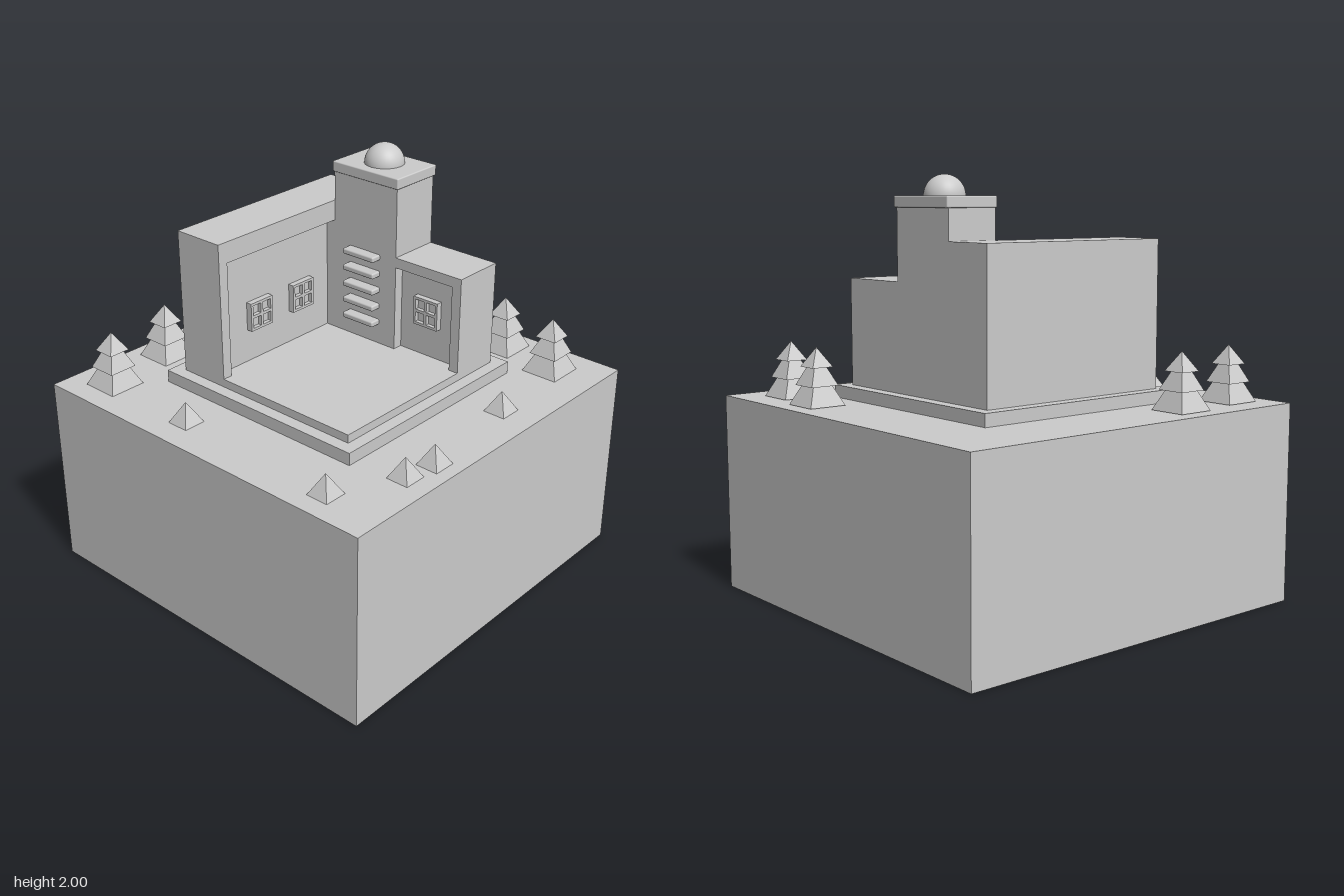
import * as THREE from 'three';
import { RoundedBoxGeometry } from 'three/addons/geometries/RoundedBoxGeometry.js';

const grey = new THREE.MeshStandardMaterial({ color: 0xcccccc });
const faceted = new THREE.MeshStandardMaterial({ color: 0xcccccc, flatShading: true });

function add(parent, name, geometry, material = grey) {
  const mesh = new THREE.Mesh(geometry, material);
  mesh.name = name;
  parent.add(mesh);
  return mesh;
}

// Box given by its lower and upper bounds on each axis; an optional radius rounds the edges
function box(parent, name, [x0, x1], [y0, y1], [z0, z1], radius = 0) {
  const size = [x1 - x0, y1 - y0, z1 - z0];
  const geometry = radius ? new RoundedBoxGeometry(...size, 2, radius) : new THREE.BoxGeometry(...size);
  const mesh = add(parent, name, geometry);
  mesh.position.set((x0 + x1) / 2, (y0 + y1) / 2, (z0 + z1) / 2);
  return mesh;
}

function rectPath(path, x0, x1, y0, y1) {
  path.moveTo(x0, y0);
  path.lineTo(x1, y0);
  path.lineTo(x1, y1);
  path.lineTo(x0, y1);
  path.closePath();
  return path;
}

function panel(x0, x1, y0, y1, holes, depth) {
  const shape = rectPath(new THREE.Shape(), x0, x1, y0, y1);
  for (const hole of holes) shape.holes.push(rectPath(new THREE.Path(), ...hole));
  return new THREE.ExtrudeGeometry(shape, { depth, bevelEnabled: false });
}

// Four-paned window, standing proud of the surface at z = 0
function makeWindow() {
  const group = new THREE.Group();
  group.name = 'window';
  const panes = [];
  for (const x of [-0.032, 0.032]) {
    for (const y of [-0.032, 0.032]) panes.push([x - 0.025, x + 0.025, y - 0.025, y + 0.025]);
  }
  add(group, 'windowFrame', panel(-0.07, 0.07, -0.07, 0.07, panes, 0.03));
  box(group, 'windowGlass', [-0.06, 0.06], [-0.06, 0.06], [0, 0.01]);
  return group;
}

// Thick wall with a recessed niche; front face at z = 0, facing +z
const RECESS = 0.05;
function makeWall(name, [x0, x1], top, niche, backStart, windows) {
  const wall = new THREE.Group();
  wall.name = name;
  box(wall, 'wallBack', [backStart, x1], [1.01, top], [-0.26, -RECESS]);
  const front = add(wall, 'wallSurround', panel(x0, x1, 1.01, top, [niche], RECESS));
  front.position.z = -RECESS;
  for (const x of windows) {
    const win = makeWindow();
    win.position.set(x, 1.28, -RECESS);
    wall.add(win);
  }
  return wall;
}

// Square pyramid with its sides along the axes
function pyramid(parent, name, half, y0, y1) {
  const geometry = new THREE.CylinderGeometry(0, half * Math.SQRT2, y1 - y0, 4).rotateY(Math.PI / 4);
  add(parent, name, geometry, faceted).position.y = (y0 + y1) / 2;
}

function makePlant(name, x, z, tiers) {
  const plant = new THREE.Group();
  plant.name = name;
  for (const tier of tiers) pyramid(plant, 'foliage', ...tier);
  plant.position.set(x, 0.95, z);
  return plant;
}

export function createModel() {
  const model = new THREE.Group();
  model.name = 'houseOnBlock';

  // Ground block, plinth and floor
  box(model, 'groundBlock', [-0.95, 0.95], [0, 0.95], [-0.95, 0.95]);
  box(model, 'plinth', [-0.57, 0.57], [0.95, 1.01], [-0.57, 0.57]);
  box(model, 'floor', [-0.25, 0.51], [1.01, 1.05], [-0.25, 0.51]);

  // Side wall faces +x, back wall faces +z
  const sideWall = makeWall('sideWall', [-0.51, 0.51], 1.71, [-0.46, 0.25, 1.05, 1.61], -0.51, [-0.232, 0.048]);
  sideWall.rotation.y = Math.PI / 2;
  sideWall.position.x = -0.25;
  const backWall = makeWall('backWall', [0.08, 0.51], 1.52, [0.13, 0.46, 1.05, 1.47], 0.13, [0.295]);
  backWall.position.z = -0.25;
  model.add(sideWall, backWall);

  // Tower with cap, dome and ladder of ledges
  box(model, 'tower', [-0.25, 0.13], [1.01, 1.86], [-0.51, -0.25]);
  box(model, 'towerCap', [-0.257, 0.138], [1.853, 1.905], [-0.522, -0.243], 0.006);
  const dome = add(model, 'dome', new THREE.SphereGeometry(0.095, 32, 12, 0, Math.PI * 2, 0, Math.PI / 2));
  dome.position.set(-0.06, 1.905, -0.385);
  for (let i = 0; i < 5; i++) {
    const y = 1.162 + i * 0.083;
    box(model, 'ledge', [-0.155, 0.033], [y - 0.014, y + 0.014], [-0.27, -0.198], 0.008);
  }

  // Three-tiered trees
  const treeTiers = [[0.093, 0.003, 0.2], [0.071, 0.095, 0.25], [0.054, 0.18, 0.27]];
  for (const [x, z] of [[-0.785, 0.385], [-0.737, 0.755], [0.392, -0.782], [0.703, -0.728]]) {
    model.add(makePlant('tree', x, z, treeTiers));
  }

  // Small bushes
  for (const [x, z] of [[-0.22, 0.775], [0.645, 0.8], [0.805, 0.485], [0.83, 0.32], [0.765, -0.248]]) {
    model.add(makePlant('bush', x, z, [[0.056, 0, 0.1]]));
  }
  return model;
}
